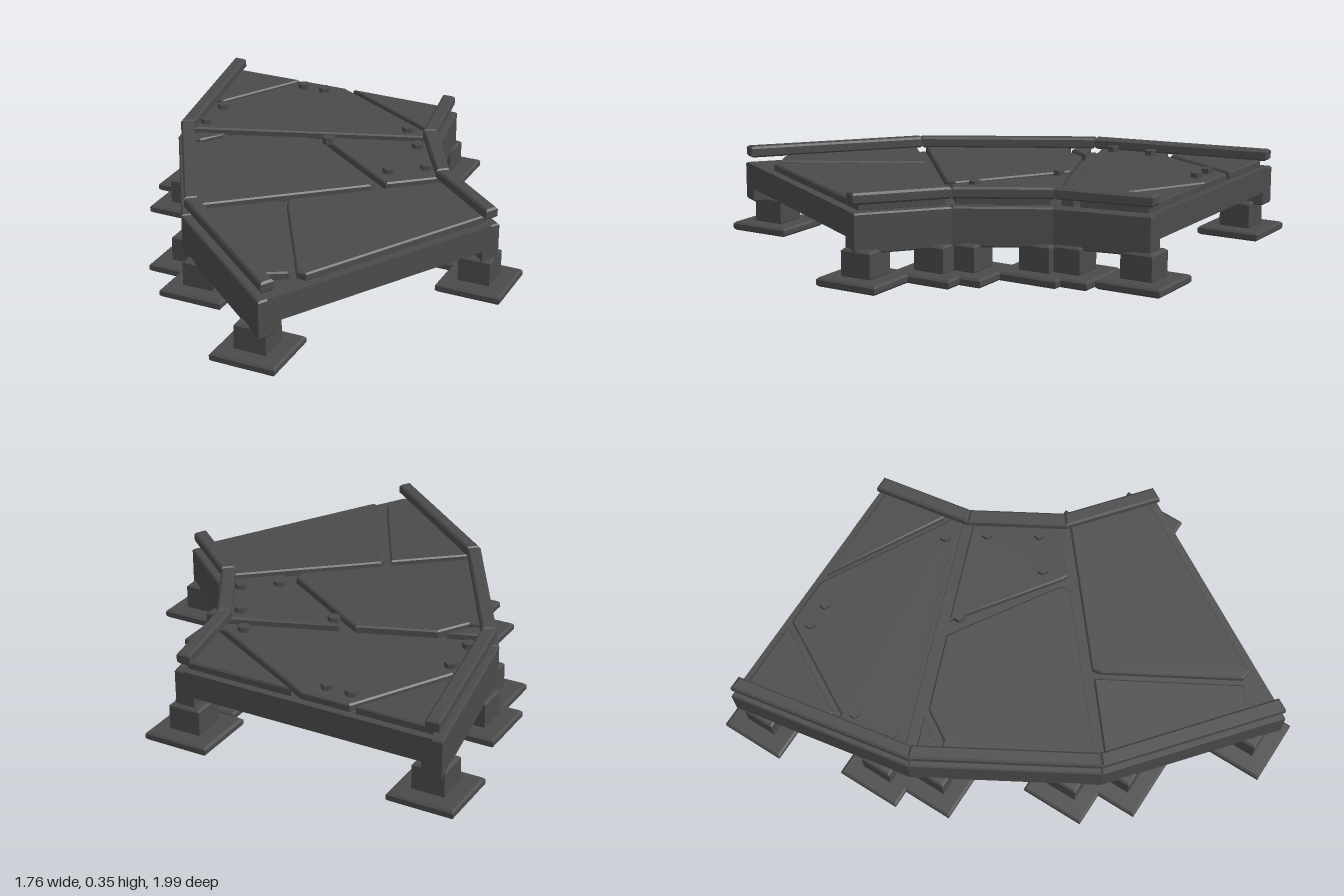
import * as THREE from 'three';

const metal = new THREE.MeshStandardMaterial({ color: 0x4b4b4b });
metal.name = 'dark metal';

// The walkway is an arc of three 20 degree sections around this centre
const CX = 1.363, CZ = -0.915, R_OUT = 2.143, R_IN = 1.123;
const polar = (r, deg) => {
  const a = THREE.MathUtils.degToRad(deg);
  return [CX - r * Math.cos(a), CZ + r * Math.sin(a)];
};

// Upright slab from a plan outline of [x, z] points, with chamfered edges
function slab(name, points, y0, y1, bevel = 0.006) {
  const shape = new THREE.Shape(points.map(([x, z]) => new THREE.Vector2(x, -z)));
  const geo = new THREE.ExtrudeGeometry(shape, {
    depth: y1 - y0 - 2 * bevel, bevelEnabled: bevel > 0, bevelThickness: bevel,
    bevelSize: bevel, bevelOffset: -bevel, bevelSegments: 1,
  });
  geo.rotateX(-Math.PI / 2);
  geo.translate(0, y0 + bevel, 0);
  const mesh = new THREE.Mesh(geo, metal);
  mesh.name = name;
  return mesh;
}

const square = (x, z, s) => [[x - s, z - s], [x + s, z - s], [x + s, z + s], [x - s, z + s]];

// One straight section of a band between two radii
const band = (r0, r1, a) => [polar(r0, a), polar(r1, a), polar(r1, a + 20), polar(r0, a + 20)];

export function createModel() {
  const model = new THREE.Group();
  model.name = 'curvedWalkway';

  // Deck slab
  const angles = [0, 20, 40, 60];
  const outline = [
    ...angles.map((a) => polar(R_OUT, a)),
    ...[...angles].reverse().map((a) => polar(R_IN, a)),
  ];
  model.add(slab('deck', outline, 0.18, 0.28, 0));

  // Side walls and the rails above them
  for (const [side, r] of [['outer', R_OUT], ['inner', R_IN]]) {
    for (const a of [0, 20, 40]) {
      model.add(slab(side + 'Wall', band(r - 0.04, r + 0.04, a), 0.125, 0.28));
      model.add(slab(side + 'Rail', band(r - 0.028, r + 0.028, a), 0.308, 0.353, 0.008));
    }
  }

  // Floor panels, split by grooves
  const panels = [
    // back section
    [[-0.77, -0.885], [-0.465, -0.885], [-0.665, -0.53], [-0.712, -0.53]],
    [[-0.44, -0.885], [-0.24, -0.885], [0.26, -0.6], [0.295, -0.6], [0.302, -0.555],
      [-0.648, -0.21], [-0.7, -0.5], [-0.655, -0.5]],
    [[-0.2, -0.885], [0.24, -0.885], [0.288, -0.625], [0.26, -0.625]],
    // middle section
    [[-0.645, -0.163], [-0.49, -0.219], [-0.555, -0.12], [-0.61, -0.11]],
    [[-0.455, -0.222], [-0.16, -0.333], [-0.12, -0.31], [0.265, -0.06], [0.265, -0.019],
      [-0.29, 0.447], [-0.598, -0.09], [-0.53, -0.1]],
    [[-0.1, -0.358], [0.315, -0.512], [0.49, -0.208], [0.315, -0.062], [0.29, -0.075]],
    // front section
    [[-0.266, 0.478], [0, 0.258], [0.295, 0.775], [0.215, 0.82], [0.155, 0.82]],
    [[0.03, 0.23], [0.516, -0.178], [0.77, 0.04], [0.355, 0.76], [0.315, 0.755], [0.035, 0.265]],
  ];
  for (const p of panels) model.add(slab('floorPanel', p, 0.275, 0.31));

  // Hexagonal bolts on the panels
  const boltGeo = new THREE.CylinderGeometry(0.025, 0.025, 0.03, 6).toNonIndexed();
  boltGeo.computeVertexNormals();
  const bolts = [[-0.41, -0.815], [-0.31, -0.815], [-0.625, -0.455], [-0.615, -0.285],
    [0.193, -0.57], [0.293, -0.434], [-0.066, -0.333], [0.404, -0.254], [0.282, -0.159]];
  for (const [x, z] of bolts) {
    const bolt = new THREE.Mesh(boltGeo, metal);
    bolt.name = 'bolt';
    bolt.position.set(x, 0.315, z);
    model.add(bolt);
  }

  // Square posts on foot plates
  const feet = [[-0.75, -0.815], [0.235, -0.868], [-0.665, -0.305], [-0.59, -0.1],
    [-0.33, 0.355], [-0.19, 0.52], [0.21, 0.862], [0.75, 0.025],
    [0.285, -0.595], [0.32, -0.485], [0.46, -0.245], [0.535, -0.155]];
  for (const [x, z] of feet) {
    const foot = new THREE.Group();
    foot.name = 'foot';
    foot.add(slab('footPlate', square(x, z, 0.132), 0, 0.035, 0.008));
    foot.add(slab('post', square(x, z, 0.065), 0.03, 0.14, 0.008));
    model.add(foot);
  }
  return model;
}
